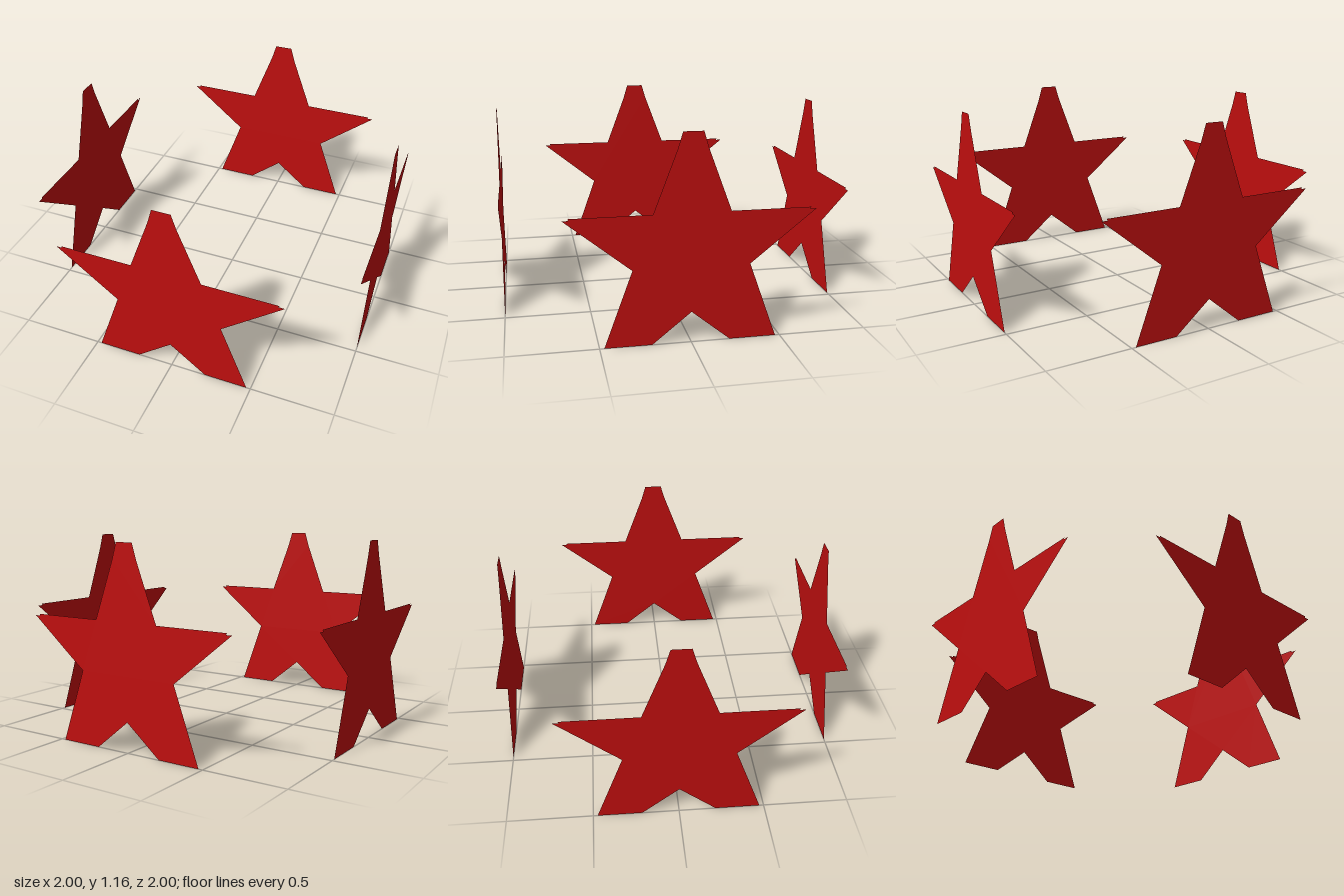
import * as THREE from 'three';

// Right half of the star outline, from the blunt top down to the crotch
const half = [
  [0.055, 1.16], [0.082, 1.07], [0.21, 0.73], [0.65, 0.73], [0.645, 0.72],
  [0.68, 0.72], [0.32, 0.43], [0.475, 0], [0.215, 0],
];

function starGeometry() {
  const mirrored = half.map(([x, y]) => [-x, y]).reverse();
  const outline = [...half, [0, 0.175], ...mirrored];
  return new THREE.ShapeGeometry(new THREE.Shape(outline.map(([x, y]) => new THREE.Vector2(x, y))));
}

export function createModel() {
  const model = new THREE.Group();
  model.name = 'fourStars';
  const red = new THREE.MeshStandardMaterial({ color: 0xbf0f0f, side: THREE.DoubleSide });
  const geometry = starGeometry();

  // One flat upright star on each side of a square, facing outward
  ['frontStar', 'leftStar', 'backStar', 'rightStar'].forEach((name, i) => {
    const angle = (i * Math.PI) / 2;
    const star = new THREE.Mesh(geometry, red);
    star.name = name;
    star.rotation.y = angle;
    star.position.set(Math.sin(angle), 0, Math.cos(angle));
    model.add(star);
  });
  return model;
}
